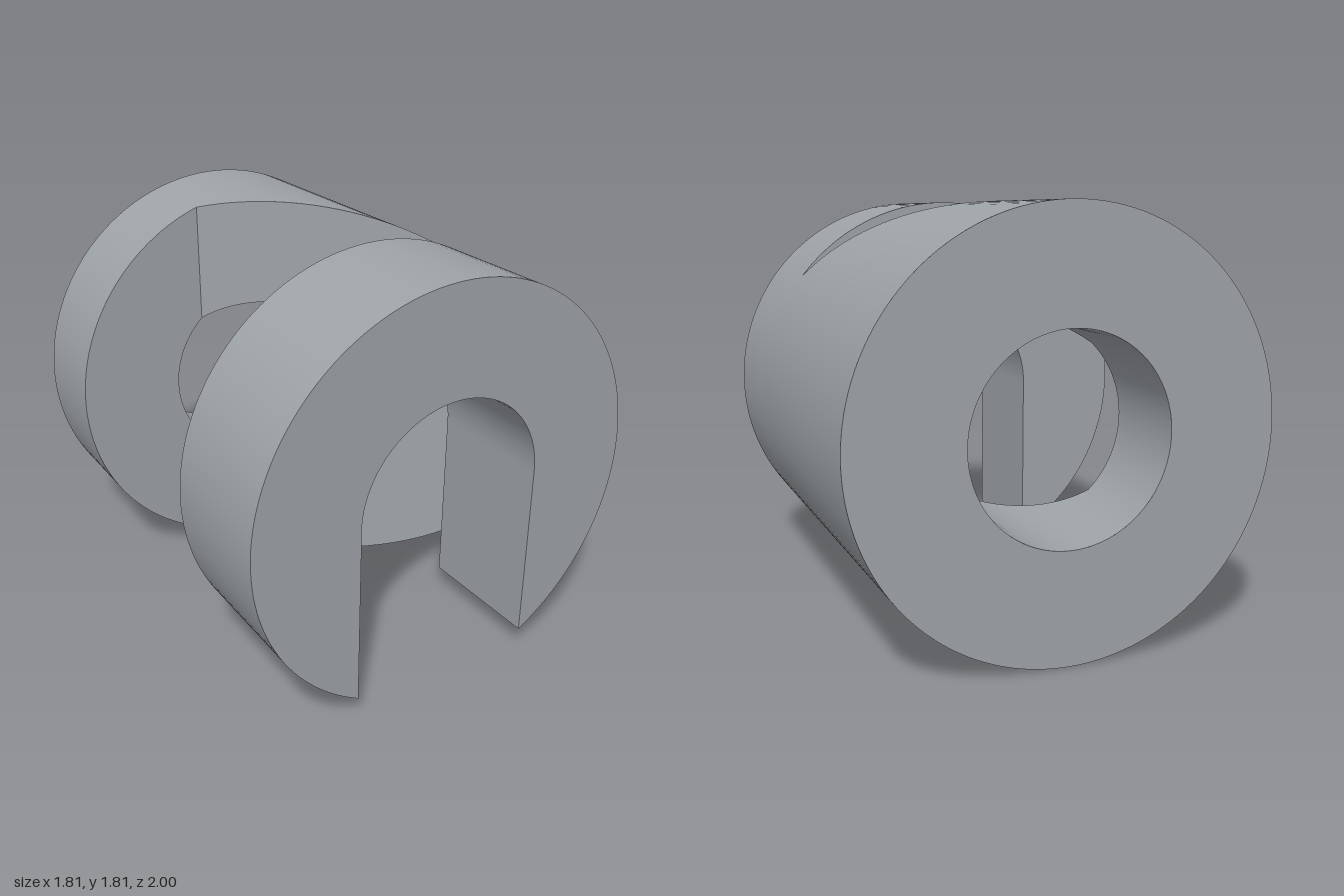
import * as THREE from 'three';

const R = 0.905, BORE = 0.43;            // outer and bore radius
const BACK = -1, FRONT = 1;              // ends of the cylinder
const NOTCH_BACK = -0.575, NOTCH_FRONT = 0.43;
const X0 = -0.29, X1 = 0.71;             // where the slanted notch face starts and ends

// front limit of the rear body above each point of the cross-section
const slant = (x) => NOTCH_BACK + ((x - X0) / (X1 - X0)) * (NOTCH_FRONT - NOTCH_BACK);
const notch = (p) => Math.min(NOTCH_FRONT, Math.max(NOTCH_BACK, slant(p.x)));

// points along an arc around the axis
function arc(r, a0, a1) {
  const n = Math.max(2, Math.ceil(Math.abs(a1 - a0) / 0.045));
  return Array.from({ length: n + 1 }, (_, i) => {
    const a = a0 + ((a1 - a0) * i) / n;
    return new THREE.Vector2(r * Math.cos(a), r * Math.sin(a));
  });
}

// join arcs between a list of angles
const arcs = (r, angles) =>
  angles.slice(1).flatMap((a, i) => arc(r, angles[i], a).slice(i ? 1 : 0));

// wall swept along z over a cross-section path (counter-clockwise faces outward)
function wall(points, zBack, zFront) {
  const pos = [], index = [];
  points.forEach((p, i) => {
    pos.push(p.x, p.y, zBack(p), p.x, p.y, zFront(p));
    if (i) {
      const k = 2 * i - 2;
      index.push(k, k + 2, k + 3, k, k + 3, k + 1);
    }
  });
  const g = new THREE.BufferGeometry();
  g.setAttribute('position', new THREE.Float32BufferAttribute(pos, 3));
  g.setIndex(index);
  g.computeVertexNormals();
  return g;
}

// planar face over an outline, placed at z given by a rule
function face(points, zRule, facesBack = false, hole = null) {
  const shape = new THREE.Shape(points);
  if (hole) shape.holes.push(new THREE.Path(hole));
  const g = new THREE.ShapeGeometry(shape);
  const p = g.attributes.position;
  for (let i = 0; i < p.count; i++) p.setZ(i, zRule({ x: p.getX(i) }));
  if (facesBack) g.setIndex(Array.from(g.index.array).reverse());
  g.computeVertexNormals();
  return g;
}

export function createModel() {
  const group = new THREE.Group();
  group.name = 'notchedCollar';
  const steel = new THREE.MeshStandardMaterial({ color: 0x9ea3a8 });
  steel.name = 'steelGrey';
  const add = (name, geometry) => {
    const mesh = new THREE.Mesh(geometry, steel);
    mesh.name = name;
    group.add(mesh);
  };
  const at = (z) => () => z;
  const TAU = Math.PI * 2;
  const aTip = Math.acos(X1 / R);        // outer angle at the notch tip
  const aBend = Math.acos(X0 / R);       // outer angle where flat meets slant
  const bBend = Math.acos(X0 / BORE);    // same on the bore
  const aSlot = Math.acos(BORE / R);     // outer angle at the slot edges

  // rear body: outside, bore and back end
  add('rearOuterWall', wall(arcs(R, [-aTip, aTip, aBend, TAU - aBend, TAU - aTip]), at(BACK), notch));
  add('boreWall', wall(arcs(BORE, [bBend, -bBend, bBend - TAU]), at(BACK), notch));
  add('backEnd', face(arc(R, 0, TAU).slice(1), at(BACK), true, arc(BORE, 0, -TAU).slice(1)));

  // notch faces on the rear body
  add('notchFlatFace', face(
    [...arc(R, aBend, TAU - aBend), ...arc(BORE, TAU - bBend, bBend)], at(NOTCH_BACK)));
  add('notchSlantedFace', face(
    [...arc(R, aTip, aBend), ...arc(BORE, bBend, -bBend), ...arc(R, -aBend, -aTip)],
    (p) => slant(p.x)));

  // front ring with an arched slot open at the bottom
  const ySlot = -R * Math.sin(aSlot);
  const arch = arc(BORE, Math.PI, 0);
  const leftFoot = new THREE.Vector2(BORE, ySlot), rightFoot = new THREE.Vector2(-BORE, ySlot);
  const outer = arcs(R, [-aSlot, -aTip, aTip, Math.PI + aSlot]);
  add('frontOuterWall', wall(outer, at(NOTCH_FRONT), at(FRONT)));
  add('slotArch', wall(arch, at(NOTCH_FRONT), at(FRONT)));
  add('slotRightSide', wall([rightFoot, arch[0]], at(NOTCH_FRONT), at(FRONT)));
  add('slotLeftSide', wall([arch[arch.length - 1], leftFoot], at(NOTCH_FRONT), at(FRONT)));
  add('frontEnd', face([...outer, ...arch], at(FRONT)));
  add('frontRingBackFace', face(
    [...arc(R, aTip, Math.PI + aSlot), ...arch, ...arc(R, -aSlot, -aTip)], at(NOTCH_FRONT), true));

  group.position.y = R;
  return group;
}
